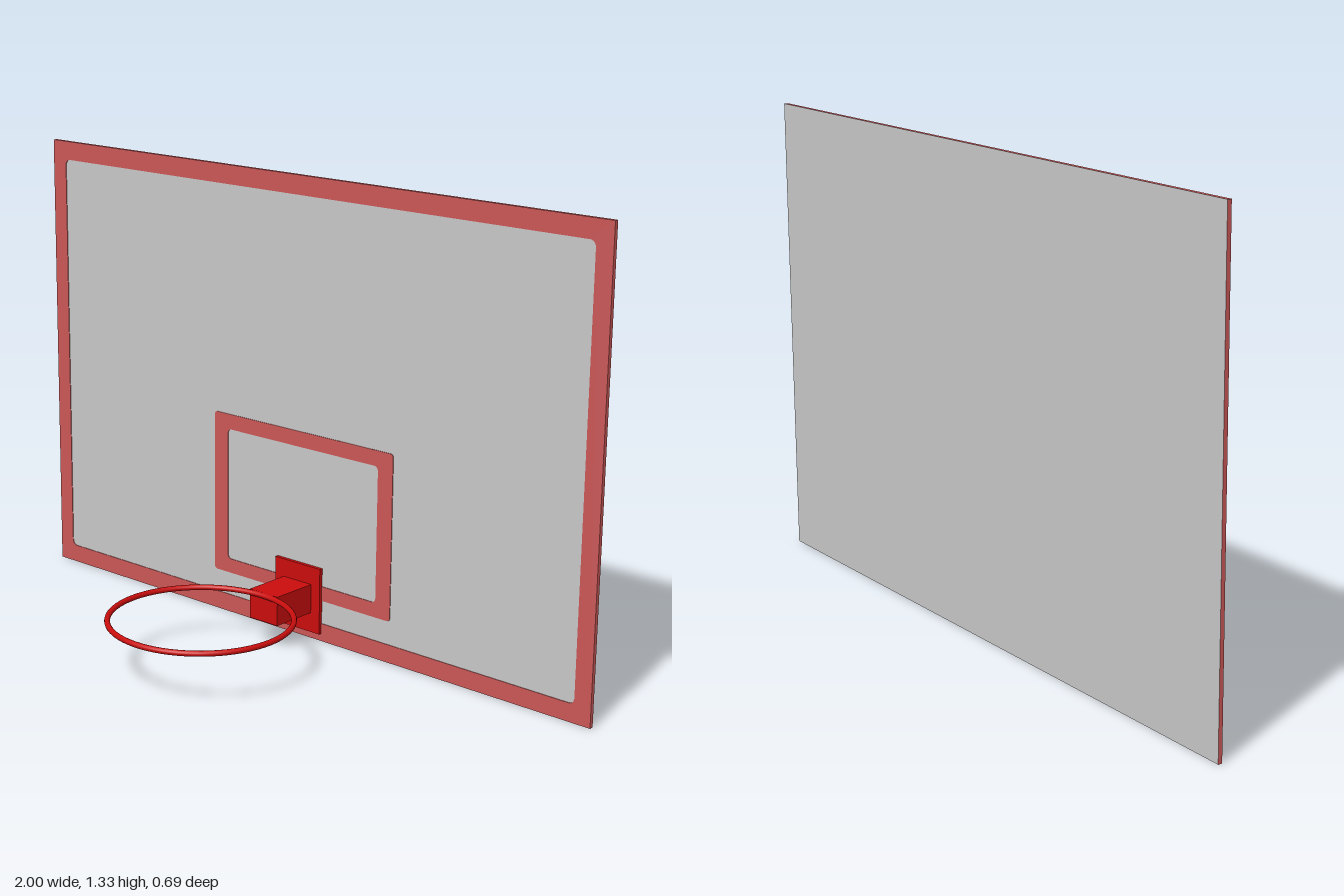
import * as THREE from 'three';

const mat = (name, color) => {
  const m = new THREE.MeshStandardMaterial({ color });
  m.name = name;
  return m;
};

// Traces a rounded rectangle onto a shape or hole path
function roundedRect(path, x, y0, y1, r) {
  path.moveTo(-x + r, y0);
  path.lineTo(x - r, y0);
  if (r) path.absarc(x - r, y0 + r, r, -Math.PI / 2, 0);
  path.lineTo(x, y1 - r);
  if (r) path.absarc(x - r, y1 - r, r, 0, Math.PI / 2);
  path.lineTo(-x + r, y1);
  if (r) path.absarc(-x + r, y1 - r, r, Math.PI / 2, Math.PI);
  path.lineTo(-x, y0 + r);
  if (r) path.absarc(-x + r, y0 + r, r, Math.PI, Math.PI * 1.5);
  return path;
}

export function createModel() {
  const group = new THREE.Group();
  const grey = mat('boardGrey', 0xc8c8c8);
  const paint = mat('markingRed', 0xcb5858);
  const red = mat('metalRed', 0xcb0d0d);
  const FRONT = -0.334; // front face of the board
  const BACK = -0.344;
  const HEIGHT = 1.333;

  const add = (name, geometry, material, x, y, z) => {
    const mesh = new THREE.Mesh(geometry, material);
    mesh.name = name;
    mesh.position.set(x, y, z);
    group.add(mesh);
    return mesh;
  };

  // Board: grey faces with red edges
  add('backboard', new THREE.BoxGeometry(2, HEIGHT, FRONT - BACK),
    [paint, paint, paint, paint, grey, grey], 0, HEIGHT / 2, (FRONT + BACK) / 2);

  // Painted markings as thin plates with a hole: [halfWidth, bottom, top, radius]
  const marking = (name, outer, inner) => {
    const shape = roundedRect(new THREE.Shape(), ...outer);
    shape.holes.push(roundedRect(new THREE.Path(), ...inner));
    const geometry = new THREE.ExtrudeGeometry(shape, { depth: 0.002, bevelEnabled: false, curveSegments: 6 });
    add(name, geometry, paint, 0, 0, FRONT);
  };
  marking('borderMarking', [1, 0, HEIGHT, 0], [0.948, 0.053, 1.278, 0.018]);
  marking('targetMarking', [0.332, 0.122, 0.607, 0.01], [0.28, 0.165, 0.562, 0.014]);

  // Mounting plate and arm
  add('mountPlate', new THREE.BoxGeometry(0.168, 0.197, 0.011), red, 0, 0.1205, -0.3285);
  add('rimArm', new THREE.BoxGeometry(0.104, 0.086, 0.147), red, 0, 0.123, -0.2515);

  // Rim
  const rim = add('rim', new THREE.TorusGeometry(0.256, 0.008, 12, 72), red, 0, 0.159, 0.08);
  rim.rotation.x = Math.PI / 2;

  return group;
}
